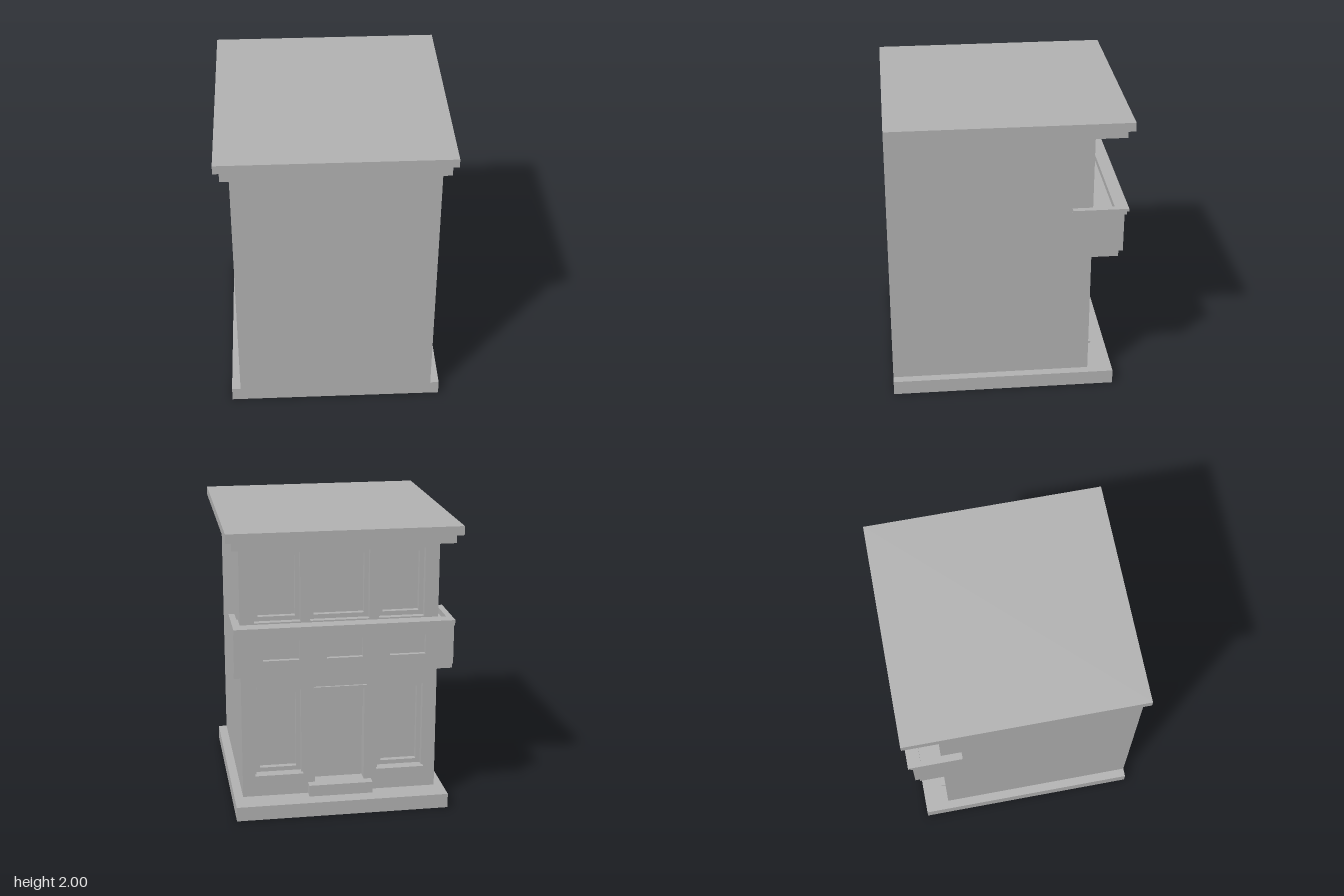
import * as THREE from 'three';

const stone = new THREE.MeshStandardMaterial({ color: 0xb2b2b2 });
stone.name = 'stone';

export function createModel() {
  const group = new THREE.Group();
  group.name = 'townhouse';

  const add = (name, geometry) => {
    const mesh = new THREE.Mesh(geometry, stone);
    mesh.name = name;
    group.add(mesh);
    return mesh;
  };

  // Box given by its limits on each axis
  const box = (name, x0, x1, y0, y1, z0, z1) =>
    add(name, new THREE.BoxGeometry(x1 - x0, y1 - y0, z1 - z0))
      .position.set((x0 + x1) / 2, (y0 + y1) / 2, (z0 + z1) / 2);

  const trace = (path, [x0, x1, y0, y1]) => {
    path.moveTo(x0, y0);
    path.lineTo(x1, y0);
    path.lineTo(x1, y1);
    path.lineTo(x0, y1);
    path.closePath();
    return path;
  };

  // Upright slab with rectangular openings
  const pierced = (name, outline, openings, z0, z1) => {
    const shape = trace(new THREE.Shape(), outline);
    openings.forEach((o) => shape.holes.push(trace(new THREE.Path(), o)));
    add(name, new THREE.ExtrudeGeometry(shape, { depth: z1 - z0, bevelEnabled: false })).position.z = z0;
  };
  const inset = ([x0, x1, y0, y1], m) => [x0 + m, x1 - m, y0 + m, y1 - m];

  // Main mass and plinth
  box('body', -0.67, 0.67, 0.1, 1.88, -0.475, 0.8);
  box('plinth', -0.73, 0.73, 0, 0.1, -0.73, 0.8);

  // Stepped roof cornice
  box('lowerCornice', -0.73, 0.73, 1.88, 1.94, -0.76, 0.8);
  box('roofSlab', -0.77, 0.77, 1.94, 2, -0.8, 0.8);

  // Facade in two layers, so each window has a stepped reveal
  const windows = [
    [-0.575, -0.265, 0.26, 0.86], [0.265, 0.575, 0.26, 0.86],
    [-0.575, -0.265, 1.34, 1.81], [-0.2, 0.2, 1.34, 1.81], [0.265, 0.575, 1.34, 1.81],
  ];
  const door = [-0.17, 0.17, 0.18, 0.86];
  const wall = [-0.67, 0.67, 0.1, 1.88];
  pierced('facadeWall', wall, [...windows, door], -0.56, -0.515);
  pierced('windowFrames', wall, [...windows.map((w) => inset(w, 0.03)), door], -0.515, -0.475);

  // Door surround and step
  box('doorTransom', -0.17, 0.17, 0.7, 0.86, -0.515, -0.475);
  box('doorMoulding', -0.18, 0.18, 0.86, 0.88, -0.59, -0.56);
  box('doorStep', -0.22, 0.22, 0.1, 0.18, -0.625, -0.56);
  box('frieze', -0.565, 0.565, 0.88, 0.975, -0.575, -0.56);

  // Balcony slab, panelled front and moulded rail
  box('balconyCore', -0.73, 0.73, 1.02, 1.33, -0.73, -0.42);
  const panels = [-0.42, 0, 0.42].map((x) => [x - 0.12, x + 0.12, 1.14, 1.27]);
  pierced('balconyFront', [-0.73, 0.73, 1.06, 1.33], panels, -0.76, -0.73);
  box('lowerRail', -0.73, 0.73, 1.33, 1.35, -0.775, -0.7);
  box('upperRail', -0.73, 0.73, 1.35, 1.37, -0.79, -0.7);

  // Mirrored window sills and balcony side walls
  for (const s of [-1, 1]) {
    box('windowSill', s * 0.42 - 0.165, s * 0.42 + 0.165, 0.245, 0.26, -0.59, -0.56);
    box('balconySide', s * 0.71 - 0.02, s * 0.71 + 0.02, 1.33, 1.37, -0.7, -0.42);
  }

  return group;
}
